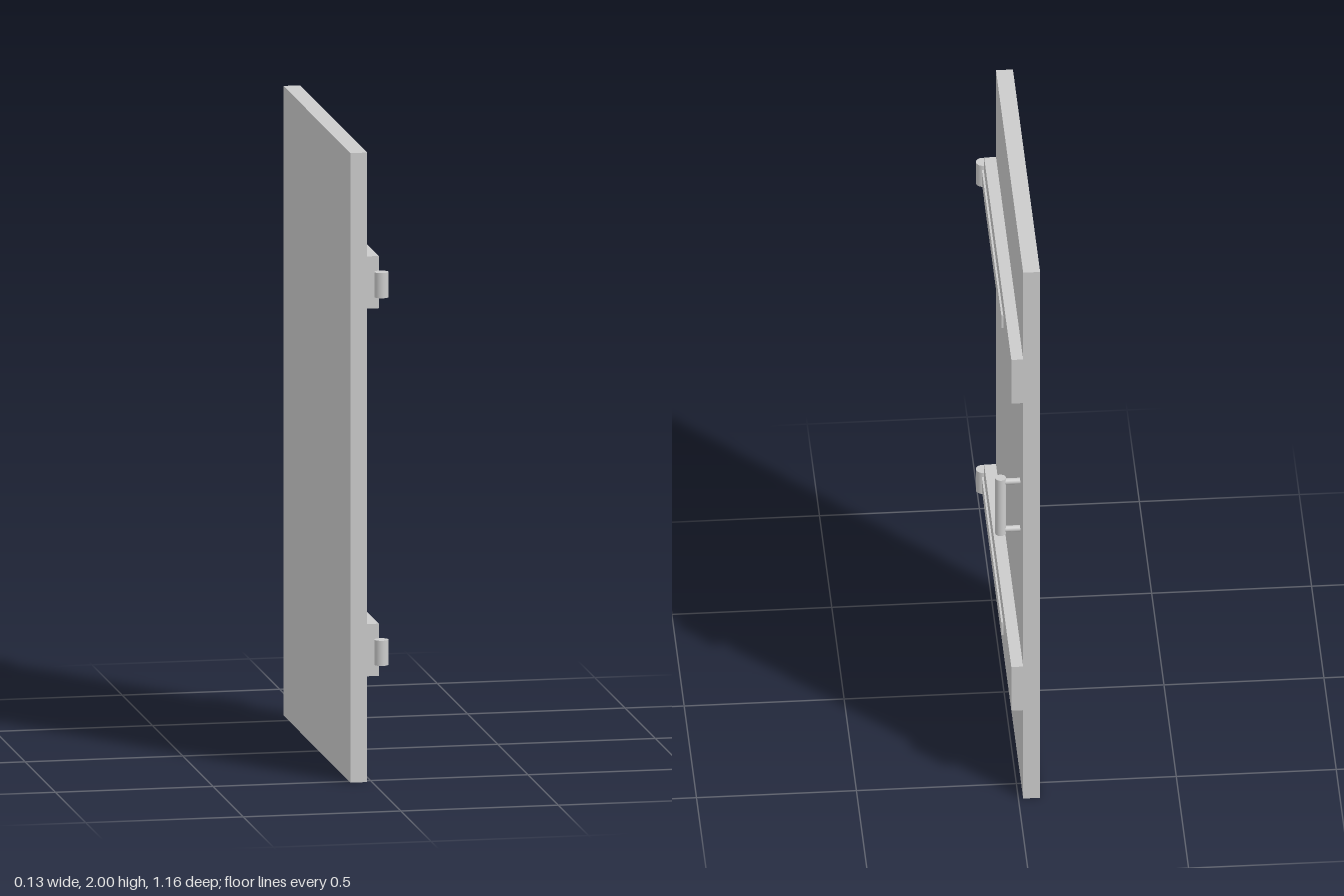
import * as THREE from 'three';

const material = new THREE.MeshStandardMaterial({ color: 0xcccccc });

function add(parent, name, geometry, x, y, z) {
  const mesh = new THREE.Mesh(geometry, material);
  mesh.name = name;
  mesh.position.set(x, y, z);
  parent.add(mesh);
  return mesh;
}

// Box given by its lower and upper corners
function addBox(parent, name, [x0, y0, z0], [x1, y1, z1]) {
  return add(parent, name, new THREE.BoxGeometry(x1 - x0, y1 - y0, z1 - z0),
    (x0 + x1) / 2, (y0 + y1) / 2, (z0 + z1) / 2);
}

export function createModel() {
  const model = new THREE.Group();
  model.name = 'door';
  const back = -0.068, face = -0.015, battenFace = 0.022;
  const zMin = -0.583, zMax = 0.522;

  addBox(model, 'doorPanel', [back, 0, zMin], [face, 2, zMax]);

  // Two cross battens, each carrying a strap hinge
  for (const [label, y] of [['lower', 0.419], ['upper', 1.587]]) {
    addBox(model, label + 'Batten', [face, y - 0.083, zMin], [battenFace, y + 0.083, zMax]);
    const hinge = new THREE.Group();
    hinge.name = label + 'Hinge';
    model.add(hinge);
    addBox(hinge, 'hingeStrap', [battenFace, y - 0.024, -0.255], [0.028, y + 0.024, 0.56]);
    add(hinge, 'hingeBarrel', new THREE.CylinderGeometry(0.022, 0.022, 0.08, 32), 0.023, y, 0.56);
  }

  // Pull handle: upright grip on two short posts
  const handle = new THREE.Group();
  handle.name = 'handle';
  model.add(handle);
  const gripX = 0.046, gripZ = -0.456;
  add(handle, 'handleGrip', new THREE.CylinderGeometry(0.017, 0.017, 0.21, 32), gripX, 1.03, gripZ);
  for (const y of [0.94, 1.12]) {
    const post = add(handle, 'handlePost',
      new THREE.CylinderGeometry(0.01, 0.01, gripX - face, 24), (gripX + face) / 2, y, gripZ);
    post.rotation.z = Math.PI / 2;
  }
  return model;
}
